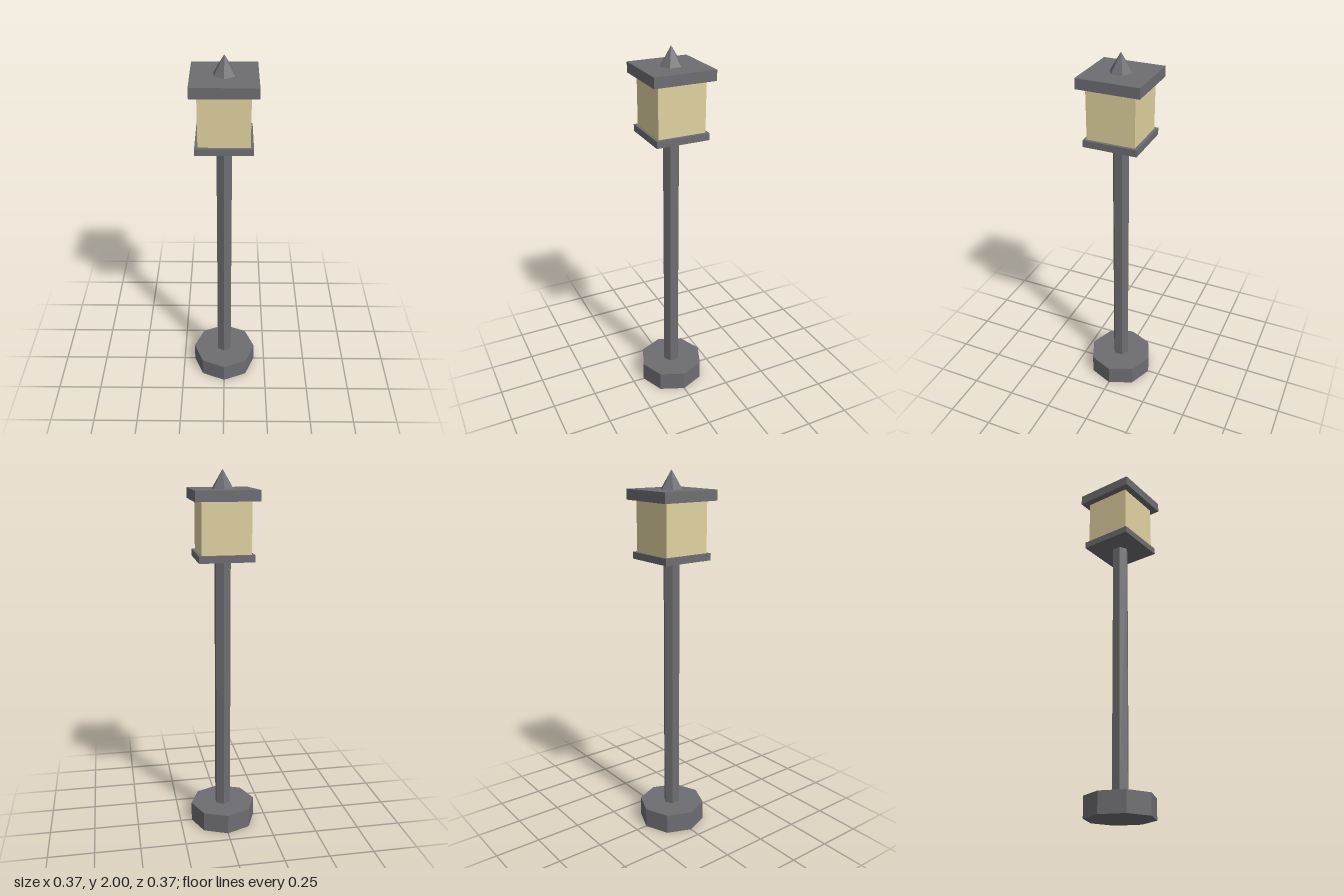
import * as THREE from 'three';

export function createModel() {
  const lamp = new THREE.Group();
  lamp.name = 'streetLamp';
  const metal = new THREE.MeshStandardMaterial({ color: 0x6e6d72, flatShading: true });
  const glass = new THREE.MeshStandardMaterial({ color: 0xe0d2a0, flatShading: true });

  // Places a part so that it spans y0 to y0 + height
  const add = (name, geometry, y0, height, material = metal) => {
    const mesh = new THREE.Mesh(geometry, material);
    mesh.name = name;
    mesh.position.y = y0 + height / 2;
    lamp.add(mesh);
  };
  const prism = (name, radius, sides, y0, y1) =>
    add(name, new THREE.CylinderGeometry(radius, radius, y1 - y0, sides), y0, y1 - y0);
  const block = (name, width, y0, y1, material) =>
    add(name, new THREE.BoxGeometry(width, y1 - y0, width), y0, y1 - y0, material);

  // Octagonal foot and hexagonal post
  prism('base', 0.185, 8, 0, 0.111);
  prism('post', 0.046, 6, 0.111, 1.541);

  // Square lantern: tray, glowing box, flat roof
  block('lanternTray', 0.292, 1.541, 1.578);
  block('lanternGlass', 0.26, 1.578, 1.847, glass);
  block('roof', 0.333, 1.847, 1.902);

  // Hexagonal pointed finial
  add('finial', new THREE.ConeGeometry(0.06, 0.098, 6), 1.902, 0.098);

  return lamp;
}
